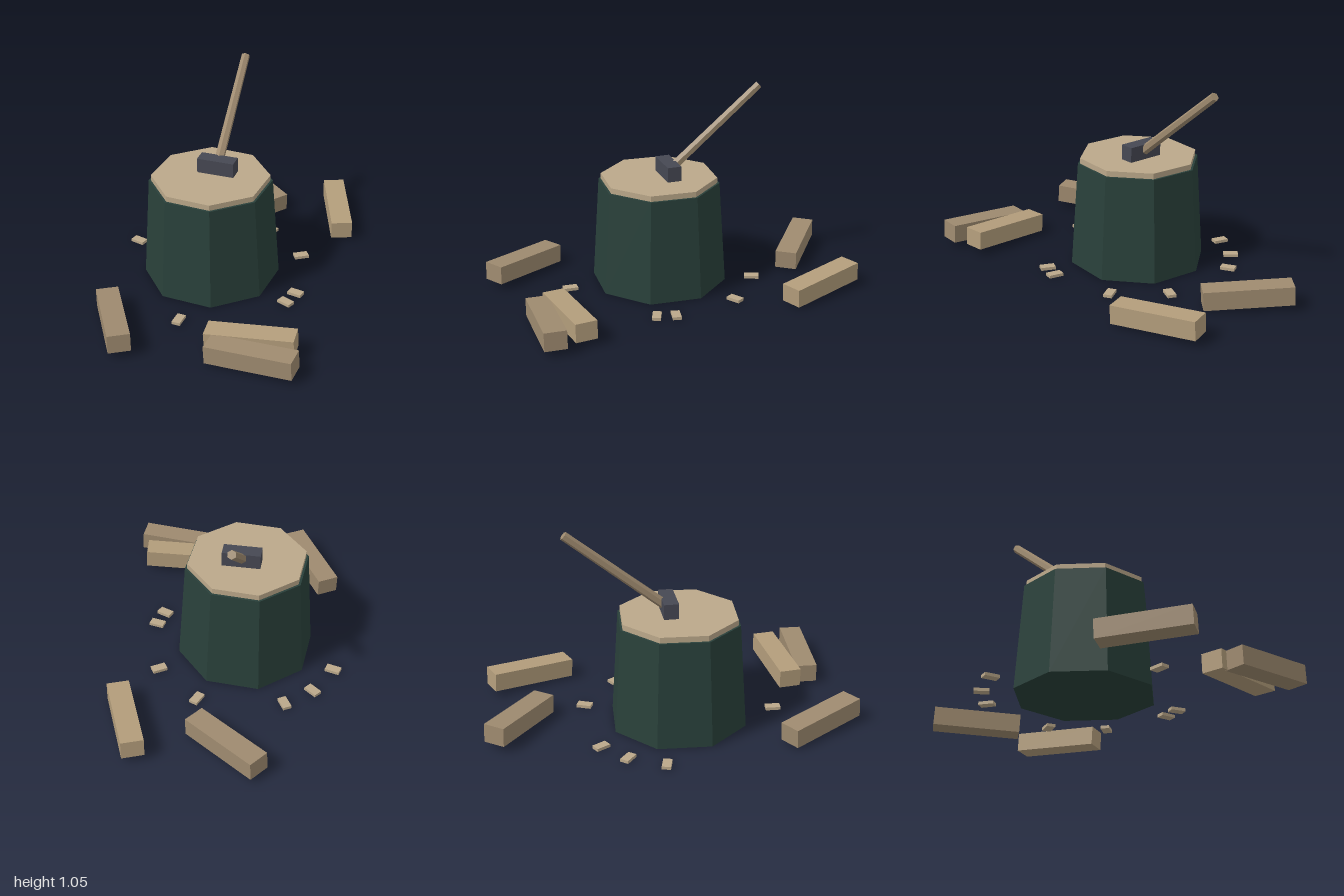
import * as THREE from 'three';

const material = (color) => new THREE.MeshStandardMaterial({ color, flatShading: true });

export function createModel() {
  const model = new THREE.Group();
  model.name = 'choppingBlock';

  const bark = material(0x29403a);
  const paleWood = material(0xbba88a);
  const logWood = material(0xb39d7b);
  const darkWood = material(0x9e8a6f);
  const metal = material(0x464853);

  function add(name, geometry, mat, x, y, z) {
    const mesh = new THREE.Mesh(geometry, mat);
    mesh.name = name;
    mesh.position.set(x, y, z);
    mesh.rotation.order = 'YXZ';
    model.add(mesh);
    return mesh;
  }

  // Octagonal stump with a slightly narrower cut top
  add('stump', new THREE.CylinderGeometry(0.326, 0.363, 0.56, 8), bark, -0.087, 0.28, -0.198);
  add('stumpTop', new THREE.CylinderGeometry(0.314, 0.314, 0.03, 8), paleWood, -0.087, 0.575, -0.198);

  // Axe: head resting on the stump, handle leaning up and back
  add('axeHead', new THREE.BoxGeometry(0.076, 0.08, 0.2), metal, -0.035, 0.63, -0.2).rotation.y = 0.46;
  const grip = new THREE.Vector3(0.422, 1.037, -0.447);
  const socket = new THREE.Vector3(-0.02, 0.63, -0.21);
  const along = grip.clone().sub(socket);
  const middle = grip.clone().add(socket).multiplyScalar(0.5);
  const handle = add('axeHandle', new THREE.CylinderGeometry(0.023, 0.026, along.length(), 6), darkWood,
    middle.x, middle.y, middle.z);
  handle.quaternion.setFromUnitVectors(new THREE.Vector3(0, 1, 0), along.normalize());

  // Split logs: centre x, z, direction of the raised outer end, material
  const logGeometry = new THREE.BoxGeometry(0.116, 0.098, 0.456);
  const logs = [
    [-0.83, -0.145, -0.245, 0.385, darkWood],
    [-0.558, 0.569, 0.183, 0.418, darkWood],
    [-0.458, 0.469, 0.245, 0.387, logWood],
    [0.797, -0.072, 0.308, -0.338, logWood],
    [0.643, -0.578, 0.083, -0.445, darkWood],
  ];
  for (const [x, z, dx, dz, mat] of logs) {
    const log = add('splitLog', logGeometry, mat, x, 0.071, z);
    log.rotation.y = Math.atan2(dx, dz);
    log.rotation.x = -0.05;
  }

  // Wood chips: centre x, z and direction of the long side
  const chipGeometry = new THREE.BoxGeometry(0.046, 0.016, 0.078);
  const chips = [
    [-0.18, -0.697, 0.015, 0.075], [0.02, -0.695, -0.018, 0.08],
    [0.185, -0.627, -0.04, 0.06], [0.418, -0.24, 0.08, -0.005],
    [0.35, 0.057, 0.065, 0.04], [0.062, 0.287, 0.02, 0.075],
    [-0.036, 0.307, 0.005, 0.08], [-0.54, 0.027, 0.075, -0.033],
  ];
  for (const [x, z, dx, dz] of chips) {
    add('woodChip', chipGeometry, paleWood, x, 0.008, z).rotation.y = Math.atan2(dx, dz);
  }

  return model;
}
